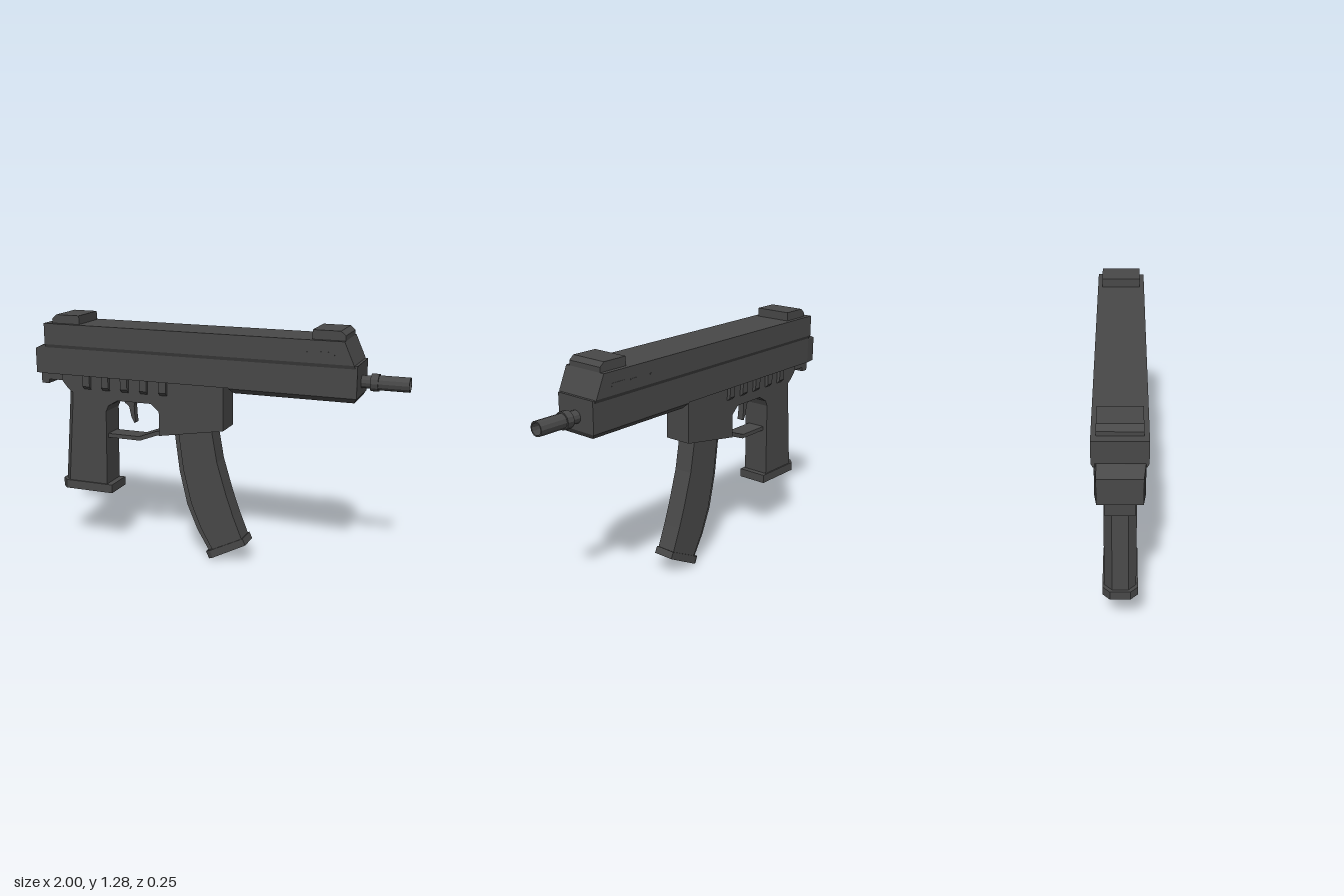
import * as THREE from 'three';

export function createModel() {
  const model = new THREE.Group();
  const gunmetal = new THREE.MeshStandardMaterial({ color: 0x484848 });
  gunmetal.name = 'gunmetal';
  gunmetal.flatShading = true;

  function add(name, geometry) {
    const mesh = new THREE.Mesh(geometry, gunmetal);
    mesh.name = name;
    model.add(mesh);
    return mesh;
  }

  // Skin between rings stacked upwards; each ring lists [x, y, z] from back to front
  // on the +z side and is mirrored to the -z side.
  function loft(name, halves) {
    const rings = halves.map(h => [...h, ...[...h].reverse().map(([x, y, z]) => [x, y, -z])]);
    const n = rings[0].length, pos = [];
    const tri = (a, b, c) => pos.push(...a, ...b, ...c);
    for (let r = 0; r < rings.length - 1; r++) {
      for (let i = 0; i < n; i++) {
        const j = (i + 1) % n, lo = rings[r], hi = rings[r + 1];
        tri(lo[i], lo[j], hi[j]);
        tri(lo[i], hi[j], hi[i]);
      }
    }
    const lo = rings[0], hi = rings[rings.length - 1];
    for (let i = 1; i < n - 1; i++) {
      tri(lo[0], lo[i + 1], lo[i]);
      tri(hi[0], hi[i], hi[i + 1]);
    }
    const g = new THREE.BufferGeometry();
    g.setAttribute('position', new THREE.Float32BufferAttribute(pos, 3));
    g.computeVertexNormals();
    return add(name, g);
  }

  // Block made of rectangles [y, back x, front x, half width]
  const block = (name, levels) =>
    loft(name, levels.map(([y, x0, x1, z]) => [[x0, y, z], [x1, y, z]]));

  // Side outline extruded across z
  function slab(name, points, halfWidth) {
    const shape = new THREE.Shape(points.map(p => new THREE.Vector2(...p)));
    const g = new THREE.ExtrudeGeometry(shape, { depth: halfWidth * 2, bevelEnabled: false });
    return add(name, g.translate(0, 0, -halfWidth));
  }

  // Upper body
  loft('receiver', [[0.967, -1, -0.93], [1.1, -1, -0.93], [1.13, -0.935, -0.925]].map(([y, back, shoulder]) =>
    [[back, y, 0.1], [shoulder, y, 0.11], [0.13, y, 0.11]]));
  block('handguard', [[0.94, 0.135, 0.75, 0.092], [0.965, 0.11, 0.765, 0.114], [1.125, 0.11, 0.765, 0.114]]);
  block('topCover', [[1.11, -0.93, 0.755, 0.114], [1.128, -0.93, 0.75, 0.123], [1.24, -0.93, 0.7, 0.123]]);
  block('rearSight', [[1.235, -0.89, -0.73, 0.1], [1.262, -0.89, -0.73, 0.1], [1.286, -0.865, -0.73, 0.1]]);
  block('frontSight', [[1.235, 0.537, 0.7, 0.1], [1.265, 0.537, 0.7, 0.1], [1.286, 0.537, 0.675, 0.1]]);

  // Small raised marks near the front of the cover
  for (const side of [1, -1]) {
    for (const [x, w, h] of [[0.612, 0.085, 0.016], [0.508, 0.045, 0.007], [0.395, 0.012, 0.007]]) {
      add('coverMark', new THREE.BoxGeometry(w, h, 0.004)).position.set(x, 1.178, side * 0.123);
    }
  }

  // Hollow barrel with collar
  const barrelProfile = [[0, 0.74], [0.032, 0.74], [0.032, 0.812], [0.044, 0.812], [0.044, 0.85],
    [0.037, 0.85], [0.037, 1], [0.03, 1], [0.03, 0.9], [0, 0.9]];
  const barrel = new THREE.LatheGeometry(barrelProfile.map(p => new THREE.Vector2(...p)), 12);
  add('barrel', barrel.rotateZ(-Math.PI / 2)).position.y = 1.03;

  // Lower frame with trigger opening and magazine well
  slab('lowerFrame', [[-0.86, 0.97], [-0.86, 0.927], [-0.83, 0.89], [-0.78, 0.85], [-0.62, 0.75], [-0.6, 0.775],
    [-0.585, 0.808], [-0.53, 0.84], [-0.335, 0.84], [-0.29, 0.8], [-0.29, 0.67], [0.07, 0.73], [0.07, 0.97]], 0.075);
  slab('rearTang', [[-0.992, 0.97], [-0.992, 0.902], [-0.95, 0.902], [-0.945, 0.925], [-0.84, 0.925], [-0.84, 0.97]], 0.065);
  for (let i = 0; i < 5; i++) {
    const x = -0.705 + i * 0.111;
    block('frameRib', [[0.89, x - 0.02, x + 0.02, 0.078], [0.907, x - 0.02, x + 0.02, 0.095], [0.97, x - 0.02, x + 0.02, 0.095]]);
  }

  // Grip with chamfered back
  const gripRing = (y, x0, x1, z, cut) => [[x0, y, z - cut], [x0 + cut, y, z], [x1, y, z]];
  loft('grip', [gripRing(0.35, -0.876, -0.608, 0.075, 0.037), gripRing(0.775, -0.84, -0.6, 0.075, 0.037),
    gripRing(0.89, -0.831, -0.6, 0.075, 0.037)]);
  loft('gripBase', [gripRing(0.318, -0.89, -0.575, 0.083, 0.035), gripRing(0.365, -0.89, -0.575, 0.083, 0.035)]);

  // Trigger and guard
  slab('triggerGuard', [[-0.61, 0.625], [-0.415, 0.625], [-0.31, 0.665], [-0.27, 0.668], [-0.27, 0.69],
    [-0.315, 0.687], [-0.42, 0.647], [-0.61, 0.647]], 0.05);
  slab('trigger', [[-0.52, 0.85], [-0.515, 0.82], [-0.49, 0.8], [-0.478, 0.745], [-0.462, 0.712], [-0.453, 0.715],
    [-0.458, 0.76], [-0.46, 0.805], [-0.45, 0.85]], 0.018);

  // Curved magazine: back and front edge points from bottom to top
  const magazineEdges = [
    [-0.015, 0.035, 0.17, 0.135], [-0.09, 0.16, 0.12, 0.26], [-0.147, 0.295, 0.08, 0.375],
    [-0.19, 0.48, 0.028, 0.55], [-0.215, 0.68, 0, 0.71], [-0.217, 0.72, -0.002, 0.76],
  ];
  loft('magazine', magazineEdges.map(([bx, by, fx, fy]) => {
    const t = 0.13, sx = bx + (fx - bx) * t, sy = by + (fy - by) * t;
    return [[bx, by, 0.038], [sx, sy, 0.038], [sx, sy, 0.053], [fx, fy, 0.053]];
  }));
  loft('magazineBase', [
    [[-0.02, 0.003, 0.045], [0.005, 0.015, 0.058], [0.19, 0.112, 0.058]],
    [[-0.037, 0.042, 0.045], [-0.01, 0.055, 0.058], [0.174, 0.147, 0.058]],
  ]);

  return model;
}
